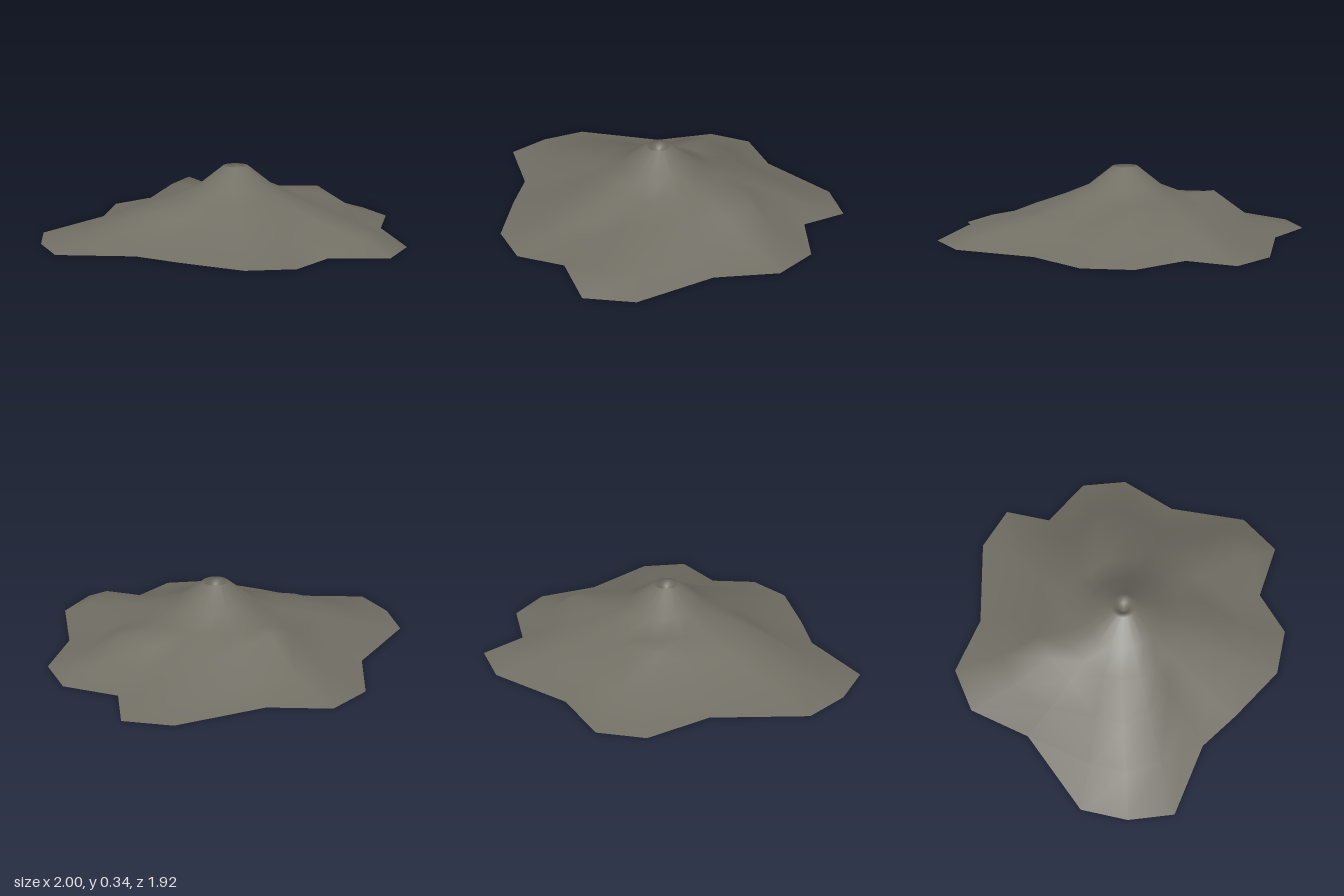
import * as THREE from 'three';

// Outline of the foot of the mountain (x, z), one point per spoke, starting at the back
const OUTLINE = [
  [0.07, -0.965], [0.32, -0.77], [0.77, -0.66], [0.945, -0.48], [0.83, -0.255],
  [1, -0.01], [0.96, 0.235], [0.72, 0.455], [0.545, 0.84], [0.32, 0.96],
  [0.07, 0.79], [-0.175, 0.86], [-0.395, 0.745], [-0.57, 0.455], [-0.685, 0.235],
  [-1, -0.01], [-0.965, -0.255], [-0.85, -0.48], [-0.395, -0.66], [-0.175, -0.925],
];
const CENTER = [0.073, -0.005];

// Ridges and shoulders: spoke -> [shoulder radius, shoulder height, foot radius, foot height]
const RIDGES = {
  0: [0.475, 0.21, 0.68, 0.06],
  1: [0.44, 0.15, 0.6, 0.055],
  4: [0.5, 0.15, 0.64, 0.06],
  5: [0.575, 0.17, 0.7, 0.07],
  6: [0.54, 0.145, 0.7, 0.065],
  8: [0.52, 0.125, 0.82, 0.06],
  9: [0.5, 0.13, 0.84, 0.07],
  15: [0.54, 0.145, 0.79, 0.045],
  19: [0.47, 0.185, 0.69, 0.055],
};

// Radius and height of every ring along one spoke, from the crater outwards
function spokeProfile(i, R) {
  const [r4, y4, r5, y5] = RIDGES[i] ?? [0.5 * R + 0.05, 0.125, 0.77 * R, 0.048];
  return [
    [0.03, 0.315],
    [0.067, 0.345],
    [0.2, 0.24],
    [0.22 + 0.13 * R, 0.183],
    [r4, y4],
    [r5, y5],
    [R, 0],
  ];
}

export function createModel() {
  const group = new THREE.Group();
  group.name = 'mountain';
  const rock = new THREE.MeshStandardMaterial({ color: 0x726f65, side: THREE.DoubleSide });
  rock.name = 'grey brown rock';

  // Crater floor, then the rings spoke by spoke
  const positions = [CENTER[0], 0.285, CENTER[1]];
  const n = OUTLINE.length;
  let rings = 0;
  OUTLINE.forEach(([x, z], i) => {
    const dx = x - CENTER[0], dz = z - CENTER[1];
    const R = Math.hypot(dx, dz);
    const profile = spokeProfile(i, R);
    rings = profile.length;
    // Inner rings are evenly spaced, outer ones follow the outline
    const even = (i / n) * Math.PI * 2;
    const real = Math.atan2(dx, -dz);
    const turn = Math.atan2(Math.sin(real - even), Math.cos(real - even));
    profile.forEach(([r, y], k) => {
      const a = even + turn * Math.min(1, r / R * 1.3);
      positions.push(CENTER[0] + Math.sin(a) * r, y, CENTER[1] - Math.cos(a) * r);
    });
  });

  // Skin between neighbouring spokes, facing up
  const index = [];
  const id = (i, k) => 1 + (i % n) * rings + k;
  for (let i = 0; i < n; i++) {
    index.push(0, id(i + 1, 0), id(i, 0));
    for (let k = 0; k < rings - 1; k++) {
      const a = id(i, k), b = id(i + 1, k), c = id(i + 1, k + 1), d = id(i, k + 1);
      index.push(a, b, c, a, c, d);
    }
  }
  const geometry = new THREE.BufferGeometry();
  geometry.setAttribute('position', new THREE.Float32BufferAttribute(positions, 3));
  geometry.setIndex(index);
  geometry.computeVertexNormals();

  const slopes = new THREE.Mesh(geometry, rock);
  slopes.name = 'slopesAndCrater';
  group.add(slopes);
  return group;
}
